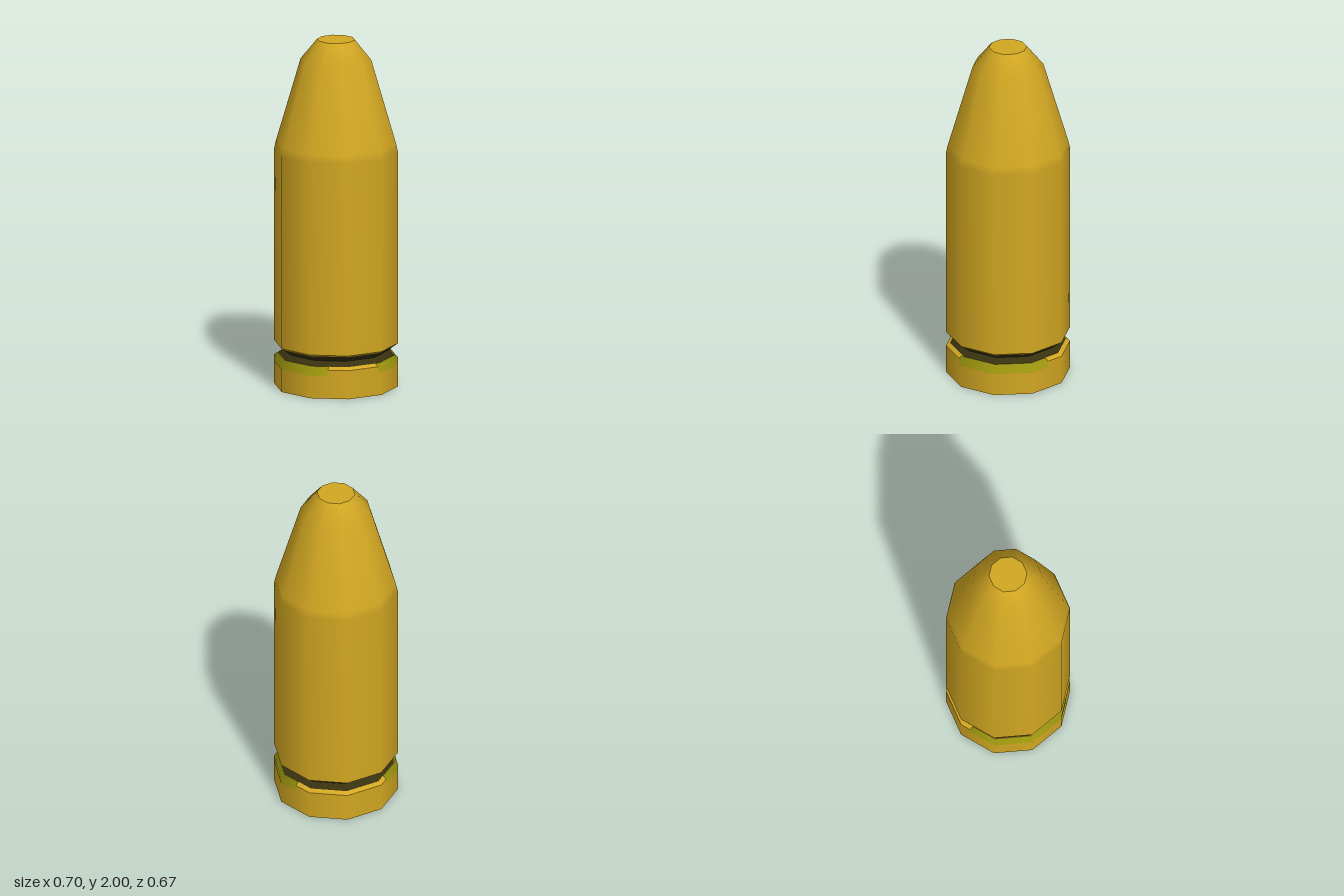
import * as THREE from 'three';

const SIDES = 10;
const STEP = (2 * Math.PI) / SIDES;
const rad = THREE.MathUtils.degToRad;

function makeMaterial(name, color, side = THREE.FrontSide) {
  const m = new THREE.MeshStandardMaterial({ color, side });
  m.name = name;
  return m;
}

// Ten-sided turned part from [radius, height] pairs, with a corner on +x
function turned(profile) {
  const points = profile.map(([r, y]) => new THREE.Vector2(r, y));
  return new THREE.LatheGeometry(points, SIDES, Math.PI / 2);
}

// Strip lying on the ten-sided surface between two angles (from +z towards +x)
function patch(profile, from, to) {
  const angles = [from];
  for (let a = 18; a < 360; a += 36) if (a > from && a < to) angles.push(a);
  angles.push(to);
  const pos = [], normal = [], index = [], n = profile.length;
  angles.forEach((deg, i) => {
    const a = rad(deg);
    const offset = a - Math.round(a / STEP) * STEP; // angle from the facet middle
    const scale = Math.cos(STEP / 2) / Math.cos(offset);
    profile.forEach(([r, y], j) => {
      pos.push(r * scale * Math.sin(a), y, r * scale * Math.cos(a));
      normal.push(Math.sin(a), 0, Math.cos(a));
      if (i && j) {
        const c = i * n + j, b = c - n;
        index.push(b - 1, c - 1, c, b - 1, c, b);
      }
    });
  });
  const g = new THREE.BufferGeometry();
  g.setAttribute('position', new THREE.Float32BufferAttribute(pos, 3));
  g.setAttribute('normal', new THREE.Float32BufferAttribute(normal, 3));
  g.setIndex(index);
  return g;
}

export function createModel() {
  const brass = makeMaterial('brass', 0xd2a722);
  const dark = makeMaterial('dark groove', 0x38310f);
  const tarnish = makeMaterial('green tarnish', 0xb2aa12, THREE.DoubleSide);

  const model = new THREE.Group();
  model.name = 'cartridge';
  const add = (name, geometry, material) => {
    const mesh = new THREE.Mesh(geometry, material);
    mesh.name = name;
    model.add(mesh);
    return mesh;
  };

  // Rim at the foot, groove above it, then the case and pointed nose
  add('rim', turned([[0.35, 0], [0.35, 0.165]]), brass);
  add('rimBevel', turned([[0.35, 0.165], [0.3275, 0.18]]), brass);
  add('grooveLower', turned([[0.3275, 0.18], [0.29, 0.205]]), dark);
  add('grooveUpper', turned([[0.29, 0.205], [0.337, 0.24]]), dark);
  add('caseBevel', turned([[0.337, 0.24], [0.35, 0.25]]), brass);
  add('caseAndNose', turned([
    [0.35, 0.25], [0.35, 1.36], [0.34, 1.405], [0.2, 1.885], [0.107, 2],
  ]), brass);

  // Flat ends
  add('noseCap', new THREE.CircleGeometry(0.107, SIDES).rotateX(-Math.PI / 2), brass).position.y = 2;
  add('baseCap', new THREE.CircleGeometry(0.35, SIDES).rotateX(Math.PI / 2), brass);

  // Tarnished patches along the top of the rim
  const rimEdge = [[0.352, 0.13], [0.352, 0.166], [0.33, 0.181]];
  [[14, 109], [208, 323]].forEach(([from, to], i) => {
    add(`tarnishPatch${i + 1}`, patch(rimEdge, from, to), tarnish);
  });

  return model;
}
